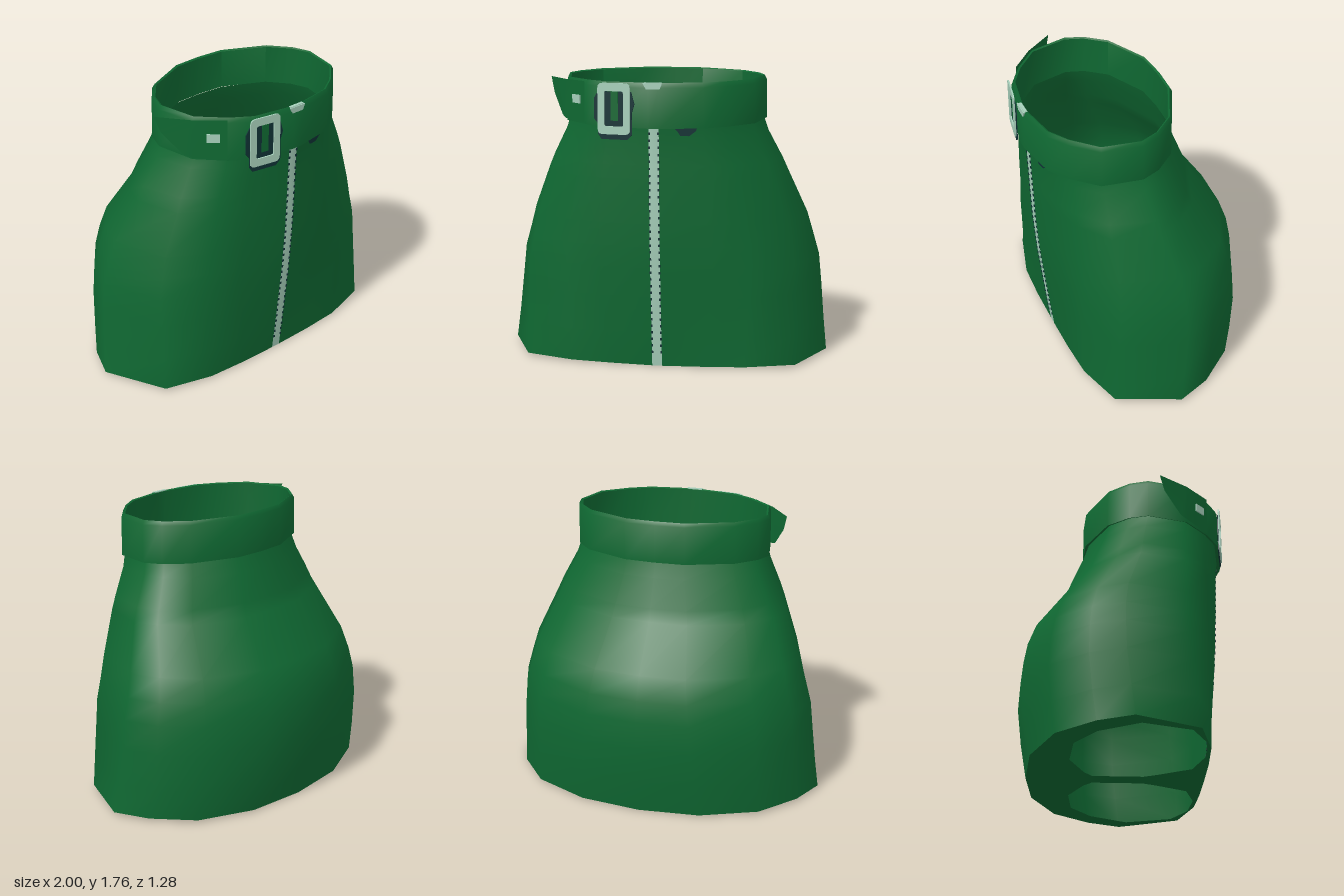
import * as THREE from 'three';
import { toCreasedNormals } from 'three/addons/utils/BufferGeometryUtils.js';

const mat = (name, color) => {
  const m = new THREE.MeshStandardMaterial({ color, side: THREE.DoubleSide });
  m.name = name;
  return m;
};

// Half outline from back to front: width and depth fractions at the hem and at the waist
const HEM = [[0, 0], [0.38, 0.027], [0.72, 0.16], [0.91, 0.37], [1, 0.565], [0.83, 0.915], [0.53, 0.99], [0.28, 1], [0, 1]];
const WAIST = [[0, 0], [0.3, 0.012], [0.75, 0.155], [0.93, 0.3], [1, 0.43], [0.92, 0.7], [0.68, 0.86], [0.47, 0.95], [0, 1]];
const ZIP = 0.03;

// Height, half width, back z, front z
const LEVELS = [
  [0.01, 1, -0.58, 0.5], [0.22, 0.98, -0.615, 0.525], [0.45, 0.96, -0.64, 0.55], [0.63, 0.942, -0.63, 0.57],
  [0.76, 0.905, -0.607, 0.58], [0.9, 0.865, -0.555, 0.59], [1.17, 0.75, -0.36, 0.6], [1.25, 0.715, -0.33, 0.602],
  [1.42, 0.627, -0.262, 0.608], [1.52, 0.595, -0.23, 0.62],
];
const TOP = LEVELS[LEVELS.length - 1];

function ring([y, w, back, front]) {
  const t = Math.min(1, y / 1.5);
  const half = HEM.map(([u, f], i) => {
    const x = i === 8 ? ZIP : w * THREE.MathUtils.lerp(u, WAIST[i][0], t);
    const z = back + (front - back) * THREE.MathUtils.lerp(f, WAIST[i][1], t);
    return new THREE.Vector3(x, y < 0.1 ? y + 0.02 * x : y, z);
  });
  const mirrored = half.slice(1).reverse().map((p) => new THREE.Vector3(-p.x, p.y, p.z));
  return [...half, ...mirrored];
}

// Skin closed rings; quads of one column can take the second material
function loft(rings, stripe = -1) {
  const n = rings[0].length, main = [], second = [];
  for (let j = 0; j < rings.length - 1; j++) {
    for (let i = 0; i < n; i++) {
      const a = j * n + i, b = j * n + (i + 1) % n;
      (i === stripe ? second : main).push(a, a + n, b, b, a + n, b + n);
    }
  }
  const g = new THREE.BufferGeometry().setFromPoints(rings.flat());
  g.setIndex([...main, ...second]);
  g.addGroup(0, main.length, 0);
  g.addGroup(main.length, second.length, 1);
  g.computeVertexNormals();
  return g;
}

const poly = (pts) => new THREE.Shape(pts.map(([x, y]) => new THREE.Vector2(x, y)));

function roundRect(C, w, h, r) {
  const s = new C(), x = w / 2, y = h / 2;
  s.moveTo(-x + r, -y).lineTo(x - r, -y).quadraticCurveTo(x, -y, x, -y + r);
  s.lineTo(x, y - r).quadraticCurveTo(x, y, x - r, y);
  s.lineTo(-x + r, y).quadraticCurveTo(-x, y, -x, y - r);
  s.lineTo(-x, -y + r).quadraticCurveTo(-x, -y, -x + r, -y);
  return s;
}

export function createModel() {
  const green = mat('green cloth', 0x0f6832);
  const pale = mat('pale metal', 0xa6cfba);
  const dark = mat('dark trim', 0x0f3134);
  const root = new THREE.Group();
  root.name = 'skirt';

  const add = (parent, name, geo, material, x = 0, y = 0, z = 0) => {
    const m = new THREE.Mesh(geo, material);
    m.name = name;
    m.position.set(x, y, z);
    parent.add(m);
    return m;
  };
  const plate = (shape, depth) => new THREE.ExtrudeGeometry(shape, { depth, bevelEnabled: false, curveSegments: 3 });

  // Skirt body with the zip as its front centre column
  const rings = LEVELS.map(ring);
  add(root, 'skirtBody', loft(rings, 8), [green, pale]);

  // Zip teeth along both edges
  const teeth = new THREE.Group();
  teeth.name = 'zipTeeth';
  root.add(teeth);
  const tooth = new THREE.BoxGeometry(0.01, 0.014, 0.008);
  for (let y = 0.1; y < 1.46; y += 0.042) {
    const k = LEVELS.findIndex((l) => l[0] > y);
    const a = LEVELS[k - 1], b = LEVELS[k];
    const z = THREE.MathUtils.mapLinear(y, a[0], b[0], a[3], b[3]);
    for (const s of [-1, 1]) add(teeth, 'zipTooth', tooth, dark, s * 0.027, y, z);
  }

  // Underside with two leg openings
  const under = poly(rings[0].map((p) => [p.x, p.z]));
  const leg = [[0.06, -0.18], [0.12, -0.23], [0.32, -0.32], [0.58, -0.3], [0.76, -0.17], [0.89, 0.07],
    [0.8, 0.36], [0.62, 0.455], [0.4, 0.47], [0.2, 0.41], [0.1, 0.22], [0.06, 0.13]];
  for (const s of [-1, 1]) under.holes.push(poly(leg.map(([x, z]) => [s * x, z])));
  const underGeo = new THREE.ShapeGeometry(under).rotateX(Math.PI / 2);
  const up = underGeo.attributes.position;
  for (let i = 0; i < up.count; i++) up.setY(i, 0.01 + 0.02 * Math.abs(up.getX(i)));
  underGeo.computeVertexNormals();
  add(root, 'underside', underGeo, green);

  // Belt: closed band around the waist, slightly higher at the back
  const beltRing = (offset, yFront, yBack) => ring(TOP).map((p) => {
    const d = new THREE.Vector3(p.x, 0, p.z - 0.19).normalize();
    const y = THREE.MathUtils.mapLinear(p.z, -0.23, 0.62, yBack, yFront);
    return p.clone().addScaledVector(d, offset).setY(y);
  });
  const inner = beltRing(-0.005, 1.49, 1.525);
  const band = [inner, beltRing(0.022, 1.475, 1.515), beltRing(0.02, 1.71, 1.745),
    beltRing(0.006, 1.74, 1.767), beltRing(-0.005, 1.735, 1.76), inner];
  add(root, 'belt', toCreasedNormals(loft(band), 0.95), green);

  // Loose belt end standing off the side
  const tail = new THREE.BufferGeometry().setFromPoints([
    [-0.43, 1.49, 0.515], [-0.43, 1.735, 0.515], [-0.575, 1.5, 0.38], [-0.575, 1.735, 0.38],
    [-0.605, 1.515, 0.335], [-0.68, 1.64, 0.23], [-0.705, 1.735, 0.2],
  ].map((p) => new THREE.Vector3(...p)));
  tail.setIndex([0, 1, 2, 2, 1, 3, 2, 3, 4, 4, 3, 5, 5, 3, 6].reverse());
  tail.computeVertexNormals();
  add(root, 'beltEnd', tail, green);
  const stud = add(root, 'beltStud', new THREE.BoxGeometry(0.075, 0.05, 0.008), pale, -0.491, 1.625, 0.464);
  stud.rotation.y = -0.76;

  // Buckle: dark backing, green middle and pale frame
  const buckle = new THREE.Group();
  buckle.name = 'buckle';
  buckle.position.set(-0.232, 1.585, 0.608);
  buckle.rotation.y = -0.17;
  root.add(buckle);
  const backing = poly([[-0.08, -0.18], [0.08, -0.18], [0.11, -0.15], [0.11, -0.02], [0.125, 0.03], [0.105, 0.1],
    [-0.1, 0.1], [-0.125, 0.06], [-0.125, -0.06], [-0.1, -0.09], [-0.1, -0.15]]);
  add(buckle, 'buckleBacking', plate(backing, 0.006), dark);
  add(buckle, 'buckleCentre', plate(poly([[-0.02, -0.07], [0.025, -0.07], [0.025, 0.1], [-0.02, 0.1]]), 0.003), green, 0, 0, 0.006);
  const frame = roundRect(THREE.Shape, 0.2, 0.3, 0.03);
  frame.holes.push(roundRect(THREE.Path, 0.118, 0.205, 0.012));
  add(buckle, 'buckleFrame', plate(frame, 0.009), pale, 0, 0, 0.006);

  // Zip pull on the belt top and the stitch patch beneath the belt
  const pull = poly([[-0.06, 0.02], [0.055, 0.02], [0.04, -0.015], [-0.04, -0.015]]);
  add(root, 'zipPull', plate(pull, 0.009), pale, 0, 1.718, 0.634);
  add(root, 'zipPullTop', new THREE.BoxGeometry(0.1, 0.006, 0.02), pale, 0, 1.739, 0.627);
  const patch = poly([[-0.08, 0.025], [0.07, 0.025], [0.06, 0], [0.02, -0.03], [-0.03, -0.03], [-0.05, 0]]);
  const stitch = add(root, 'stitchPatch', plate(patch, 0.006), dark, 0.185, 1.46, 0.589);
  stitch.rotation.y = 0.15;
  return root;
}
